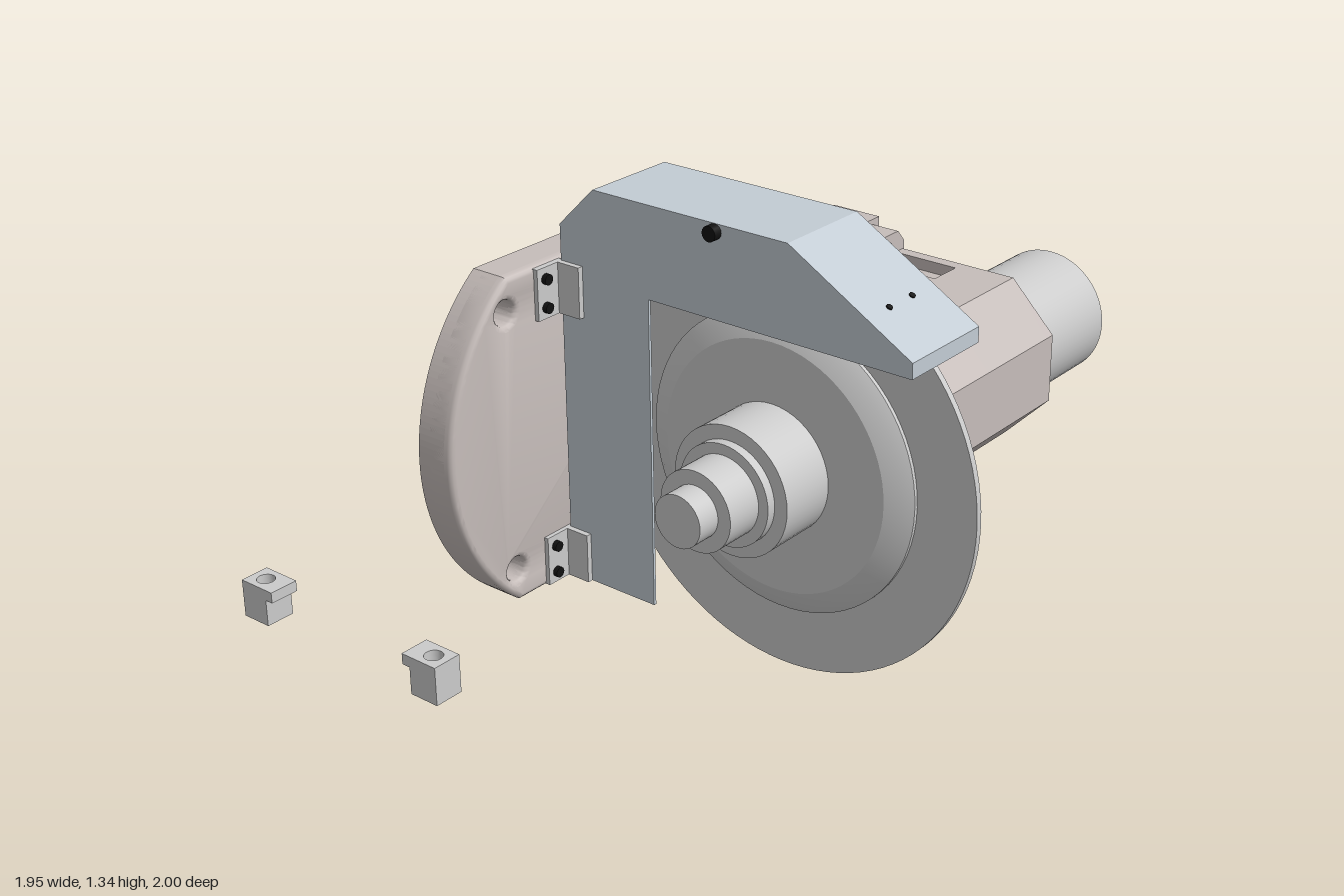
import * as THREE from 'three';
import { toCreasedNormals } from 'three/addons/utils/BufferGeometryUtils.js';

const grey = new THREE.MeshStandardMaterial({ color: 0xcccccc });
const iron = new THREE.MeshStandardMaterial({ color: 0xc6bdba });
const sheet = new THREE.MeshStandardMaterial({ color: 0xc3ccd4, side: THREE.DoubleSide });
const black = new THREE.MeshStandardMaterial({ color: 0x111111 });
const AXIS_Y = 0.7, AXIS_Z = 0.44, MID_Y = 0.7;

export function createModel() {
  const root = new THREE.Group();
  const add = (name, geo, mat, x = 0, y = 0, z = 0) => {
    const m = new THREE.Mesh(geo, mat);
    m.name = name;
    m.position.set(x, y, z);
    root.add(m);
    return m;
  };
  const poly = (pts) => new THREE.Shape(pts.map(([a, b]) => new THREE.Vector2(a, b)));
  const circle = (x, y, r) => new THREE.Path().absarc(x, y, r, 0, Math.PI * 2, true);
  const extrude = (shape, depth) =>
    new THREE.ExtrudeGeometry(shape, { depth, bevelEnabled: false, curveSegments: 32 });
  // outline in (z, y), drawn out from x0 to x1
  const extrudeX = (pts, x0, x1) =>
    extrude(poly(pts.map(([z, y]) => [-z, y])), x1 - x0).rotateY(Math.PI / 2).translate(x0, 0, 0);
  // outline in (x, z), drawn out from y0 to y1
  const extrudeY = (pts, y0, y1) =>
    extrude(poly(pts.map(([x, z]) => [x, -z])), y1 - y0).rotateX(-Math.PI / 2).translate(0, y0, 0);
  const box = (name, mat, x0, x1, y0, y1, z0, z1) => add(name,
    new THREE.BoxGeometry(x1 - x0, y1 - y0, z1 - z0), mat, (x0 + x1) / 2, (y0 + y1) / 2, (z0 + z1) / 2);
  const cylX = (name, mat, r, x0, x1, y = AXIS_Y, z = AXIS_Z, n = 48) => add(name,
    new THREE.CylinderGeometry(r, r, x1 - x0, n).rotateZ(Math.PI / 2), mat, (x0 + x1) / 2, y, z);
  const cylZ = (name, mat, r, z0, z1, x, y, n = 32) => add(name,
    new THREE.CylinderGeometry(r, r, z1 - z0, n).rotateX(Math.PI / 2), mat, x, y, (z0 + z1) / 2);

  // round back plate, cut flat above and below
  const R = 0.555, cx = -0.42, a = Math.asin(0.44 / R);
  const plate = new THREE.Shape();
  plate.absarc(cx, MID_Y, R, -a, a, false);
  plate.absarc(cx, MID_Y, R, Math.PI - a, Math.PI + a, false);
  for (const x of [-0.765, -0.07]) for (const y of [0.35, 1.05]) plate.holes.push(circle(x, y, 0.033));
  add('backPlate', extrude(plate, 0.085).translate(0, 0, -0.25), iron);
  const rim = new THREE.ExtrudeGeometry(plate, {
    depth: 0.06, bevelSize: 0.015, bevelOffset: -0.015, bevelThickness: 0.015, bevelSegments: 3, curveSegments: 32,
  });
  add('plateRim', toCreasedNormals(rim, 0.6).translate(0, 0, -0.215), iron);

  // main casting: slanted back corner scooped out between ribs
  const rib = [[0.47, 0.045], [0.47, -0.06], [0.37, -0.12], [0.26, -0.185], [0.15, -0.25]];
  const scoop = [[0.47, 0.04], [0.32, 0.02], [0.19, -0.03], [0.12, -0.12], [0.1, -0.25]];
  const profile = (t) => [[-0.32, 0.09], [0.47, 0.09],
    ...rib.map(([x, z], i) => [x + (scoop[i][0] - x) * t, z + (scoop[i][1] - z) * t]), [-0.32, -0.25]];
  const sections = [];
  const scoops = [[0.26, 0.4], [0.46, 0.67], [0.73, 0.94]];
  for (const [y0, y1] of scoops) {
    for (let i = 0; i <= 16; i++) {
      const u = -Math.cos((i / 16) * Math.PI);
      const y = (y0 + y1) / 2 + (u * (y1 - y0)) / 2;
      if (y > 0.334) sections.push([y, Math.pow(Math.max(0, 1 - u ** 4), 0.5)]);
    }
  }
  sections.push([1.0, 0]);
  const pos = [];
  for (let s = 0; s < sections.length - 1; s++) {
    const [ya, ta] = sections[s], [yb, tb] = sections[s + 1];
    const A = profile(ta), B = profile(tb);
    for (let j = 0; j < A.length; j++) {
      const k = (j + 1) % A.length;
      const p = [A[j][0], ya, A[j][1]], q = [A[k][0], ya, A[k][1]];
      const r = [B[k][0], yb, B[k][1]], v = [B[j][0], yb, B[j][1]];
      pos.push(...p, ...q, ...r, ...p, ...r, ...v);
    }
  }
  const loft = new THREE.BufferGeometry();
  loft.setAttribute('position', new THREE.Float32BufferAttribute(pos, 3));
  add('casting', toCreasedNormals(loft, 0.5), iron);
  add('castingTop', extrudeY(profile(0), 0.99, 1.0), iron);
  add('castingBottom', extrudeY(profile(sections[0][1]), sections[0][0], sections[0][0] + 0.005), iron);
  for (const x of [0.03, 0.25]) for (const z of [-0.04, 0.05])
    add('topHole', new THREE.CylinderGeometry(0.007, 0.007, 0.004, 10), black, x, 1.0, z);

  // upright web behind the blade cover
  add('web', extrude(poly([[-0.32, 0.26], [-0.27, 0.26], [-0.17, 0.4], [-0.17, 1.0], [-0.27, 1.14], [-0.32, 1.14]]),
    0.34).translate(0, 0, -0.24), iron);

  // bolted flange with cut corners
  add('flange', extrude(poly([[-0.22, 0.415], [0.44, 0.415], [0.47, 0.45], [0.47, 0.95], [0.44, 0.985],
    [-0.22, 0.985], [-0.25, 0.95], [-0.25, 0.45]]), 0.09).translate(0, 0, 0.085), iron);
  const boltX = [-0.18, 0.1, 0.38];
  for (const x of boltX) for (const y of [0.45, 0.95]) {
    cylZ('flangeBolt', grey, 0.021, 0.17, 0.185, x, y, 24);
    cylZ('boltSocket', black, 0.009, 0.18, 0.187, x, y, 6);
  }

  // eight-sided spindle housing with bolt clearance slots
  const front = [[0.53, 0.473], [0.66, 0.605], [0.66, 0.795], [0.53, 0.927]];
  const full = [[0.16, 0.473], ...front, [0.16, 0.927]];
  const slotted = [[0.16, 0.505], [0.37, 0.505], [0.37, 0.473], ...front, [0.37, 0.927], [0.37, 0.895], [0.16, 0.895]];
  let x = -0.3;
  for (const b of boltX) {
    add('housing', extrudeX(full, x, b - 0.05), iron);
    add('housing', extrudeX(slotted, b - 0.05, b + 0.05), iron);
    x = b + 0.05;
  }
  add('housing', extrudeX(full, x, 0.465), iron);

  // motor and shaft
  cylX('motor', grey, 0.178, 0.46, 0.81);
  cylX('motorRing', grey, 0.184, 0.46, 0.475);
  cylX('shaft', grey, 0.031, 0.8, 0.975, AXIS_Y, AXIS_Z, 24);

  // connection plate on the right face
  box('sidePlate', grey, 0.465, 0.488, 0.5, 0.605, 0.05, 0.18);
  for (const y of [0.52, 0.585]) for (const z of [0.07, 0.16]) cylX('sideScrew', black, 0.009, 0.48, 0.49, y, z, 16);
  box('sideStop', iron, 0.46, 0.48, 0.415, 0.45, 0.1, 0.18);

  // blade, bevelled clamping flange and stepped hub
  cylX('blade', grey, 0.56, -0.425, -0.408, AXIS_Y, AXIS_Z, 96);
  const lathe = [[0, -0.052], [0.33, -0.052], [0.37, -0.035], [0.395, -0.018],
    [0.395, 0.018], [0.37, 0.035], [0.33, 0.052], [0, 0.052]].map(([r, h]) => new THREE.Vector2(r, h));
  add('bladeFlange', toCreasedNormals(new THREE.LatheGeometry(lathe, 72), 0.3).rotateZ(-Math.PI / 2),
    grey, -0.417, AXIS_Y, AXIS_Z);
  const hub = [[0.17, -0.63, -0.46], [0.133, -0.655, -0.62], [0.105, -0.76, -0.65], [0.068, -0.825, -0.75]];
  for (const [r, x0, x1] of hub) cylX('hub', grey, r, x0, x1);
  cylX('hubNeck', grey, 0.09, -0.37, -0.3);
  cylX('hubCollar', grey, 0.18, -0.335, -0.3);

  // blade cover: inner panel with sloping ends
  add('coverPanel', extrude(poly([[-0.32, 0.265], [-0.31, 0.265], [-0.257, 0.42], [-0.257, 0.98], [-0.31, 1.14], [-0.32, 1.14]]),
    0.585).translate(0, 0, 0.1), sheet);
  // hood roof and its two cheeks
  const outer = [[0.91, 1.1], [0.91, 1.14], [0.565, 1.34], [-0.02, 1.34], [-0.13, 1.23], [-0.13, 1.13]];
  const inner = [[-0.12, 1.13], [-0.12, 1.226], [-0.016, 1.33], [0.562, 1.33], [0.9, 1.134], [0.9, 1.1]];
  add('hoodRoof', extrudeX([...outer, ...inner], -0.575, -0.31), sheet);
  add('hoodCheekLeft', extrudeX([...outer, [0.1, 1.1]], -0.32, -0.31), sheet);
  add('hoodCheekRight', extrudeX([...outer, [-0.13, 0.265], [0.15, 0.265], [0.15, 1.1]], -0.577, -0.569), sheet);
  for (const hx of [-0.49, -0.4]) {
    const dot = add('hoodScrew', new THREE.CylinderGeometry(0.008, 0.008, 0.006, 12), black, hx, 1.213, 0.785);
    dot.rotation.x = Math.atan2(0.2, 0.345);
  }
  const knob = cylX('hoodKnob', black, 0.022, -0.6, -0.575, 1.32, 0.355, 16);
  knob.scale.set(1, 0.9, 0.9);

  // brackets holding the cover to the plate
  for (const y of [0.265, 1.0]) {
    box('bracketFoot', grey, -0.665, -0.57, y, y + 0.135, -0.145, -0.128);
    box('bracketWall', grey, -0.592, -0.577, y, y + 0.135, -0.14, -0.06);
    for (const dy of [0.03, 0.105]) cylZ('bracketBolt', black, 0.014, -0.13, -0.115, -0.637, y + dy, 16);
  }

  // back boss, sensor block and plugs
  cylZ('backBoss', grey, 0.067, -0.31, -0.24, -0.42, 0.7);
  const sensor = new THREE.Group();
  sensor.name = 'sensor';
  const s1 = box('sensorBase', grey, -0.255, -0.19, 0.785, 0.845, -0.29, -0.25);
  const s2 = box('sensorCap', grey, -0.265, -0.18, 0.772, 0.86, -0.31, -0.285);
  sensor.add(s1, s2);
  root.add(sensor);
  cylZ('sensorHole', black, 0.018, -0.313, -0.3, -0.222, 0.816, 20);
  for (let i = 0; i < 4; i++) {
    const t = (i * Math.PI) / 2;
    cylZ('backPlug', black, 0.016, -0.252, -0.24, -0.42 + 0.25 * Math.cos(t), 0.7 + 0.25 * Math.sin(t), 16);
  }

  // four loose clamp feet, each with a lip and a bore
  const square = poly([[-0.044, -0.06], [0.044, -0.06], [0.044, 0.06], [-0.044, 0.06]]);
  square.holes.push(circle(0, 0.012, 0.026));
  const stem = poly([[-0.044, -0.034], [0.044, -0.034], [0.044, 0.06], [-0.044, 0.06]]);
  stem.holes.push(circle(0, 0.012, 0.026));
  for (const fx of [-0.922, 0.087]) for (const [fz, side] of [[-0.315, 1], [-0.94, -1]]) {
    const foot = new THREE.Group();
    foot.name = 'clampFoot';
    const lip = add('clampLip', extrude(square, 0.032).rotateX(-Math.PI / 2), grey, 0, 0.08, 0);
    const body = add('clampBody', extrude(stem, 0.08).rotateX(-Math.PI / 2), grey);
    foot.add(lip, body);
    foot.position.set(fx, 0, fz);
    if (side > 0) foot.rotation.y = Math.PI;
    root.add(foot);
  }
  return root;
}
